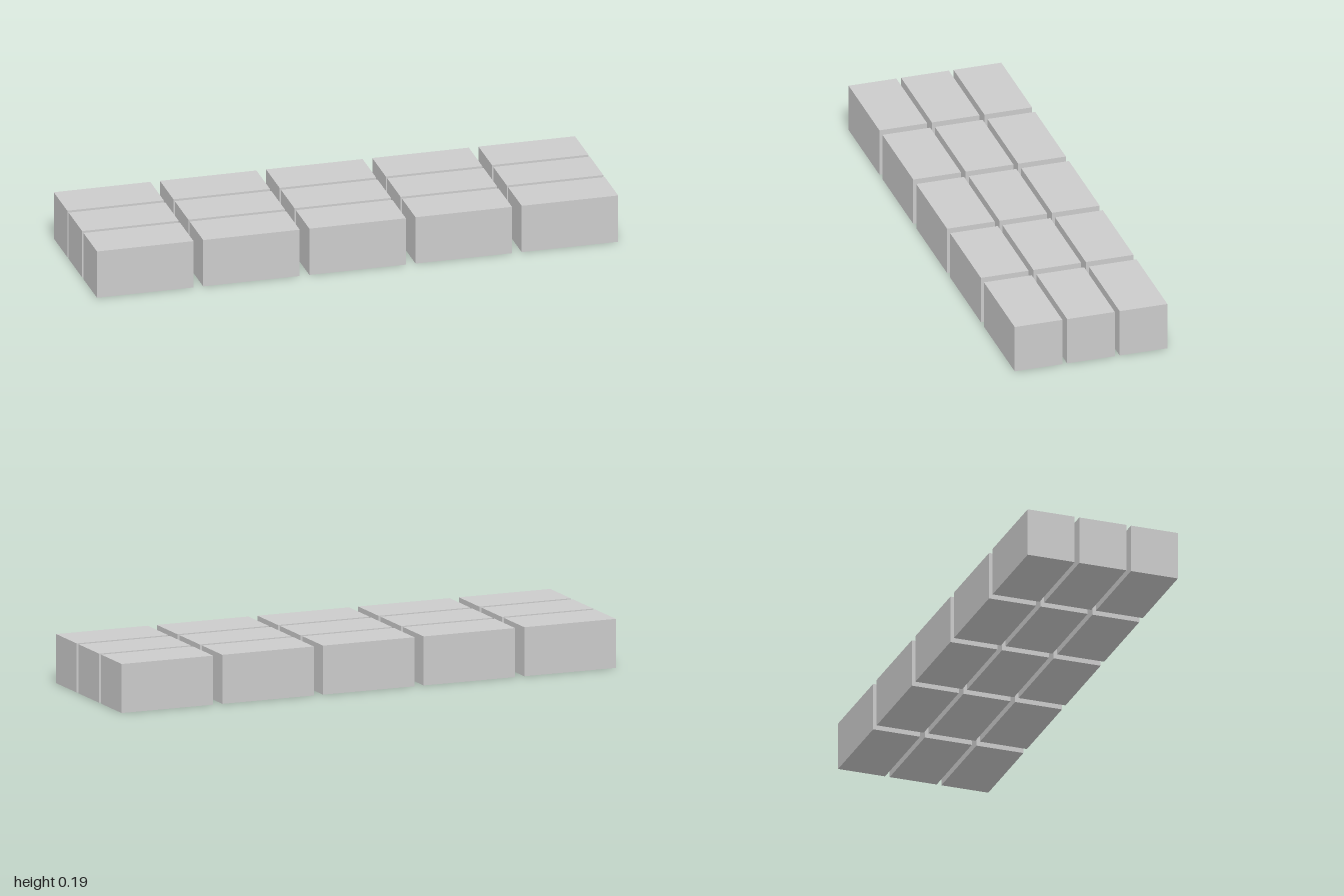
import * as THREE from 'three';

export function createModel() {
  const model = new THREE.Group();
  model.name = 'blockGrid';

  // Block proportions: 20 x 10 x 10 units, gaps of 2 (x) and 1 (z)
  const unit = 2 / 108;
  const width = 20 * unit, height = 10 * unit, depth = 10 * unit;
  const pitchX = width + 2 * unit, pitchZ = depth + unit;
  const columns = 5, rows = 3;

  const geometry = new THREE.BoxGeometry(width, height, depth);
  const material = new THREE.MeshStandardMaterial({ color: 0xcccccc, flatShading: true });

  // Three rows of five separate blocks
  for (let r = 0; r < rows; r++) {
    const row = new THREE.Group();
    row.name = `row${r + 1}`;
    row.position.z = (r - (rows - 1) / 2) * pitchZ;
    for (let c = 0; c < columns; c++) {
      const block = new THREE.Mesh(geometry, material);
      block.name = `block${c + 1}`;
      block.position.set((c - (columns - 1) / 2) * pitchX, height / 2, 0);
      row.add(block);
    }
    model.add(row);
  }
  return model;
}
